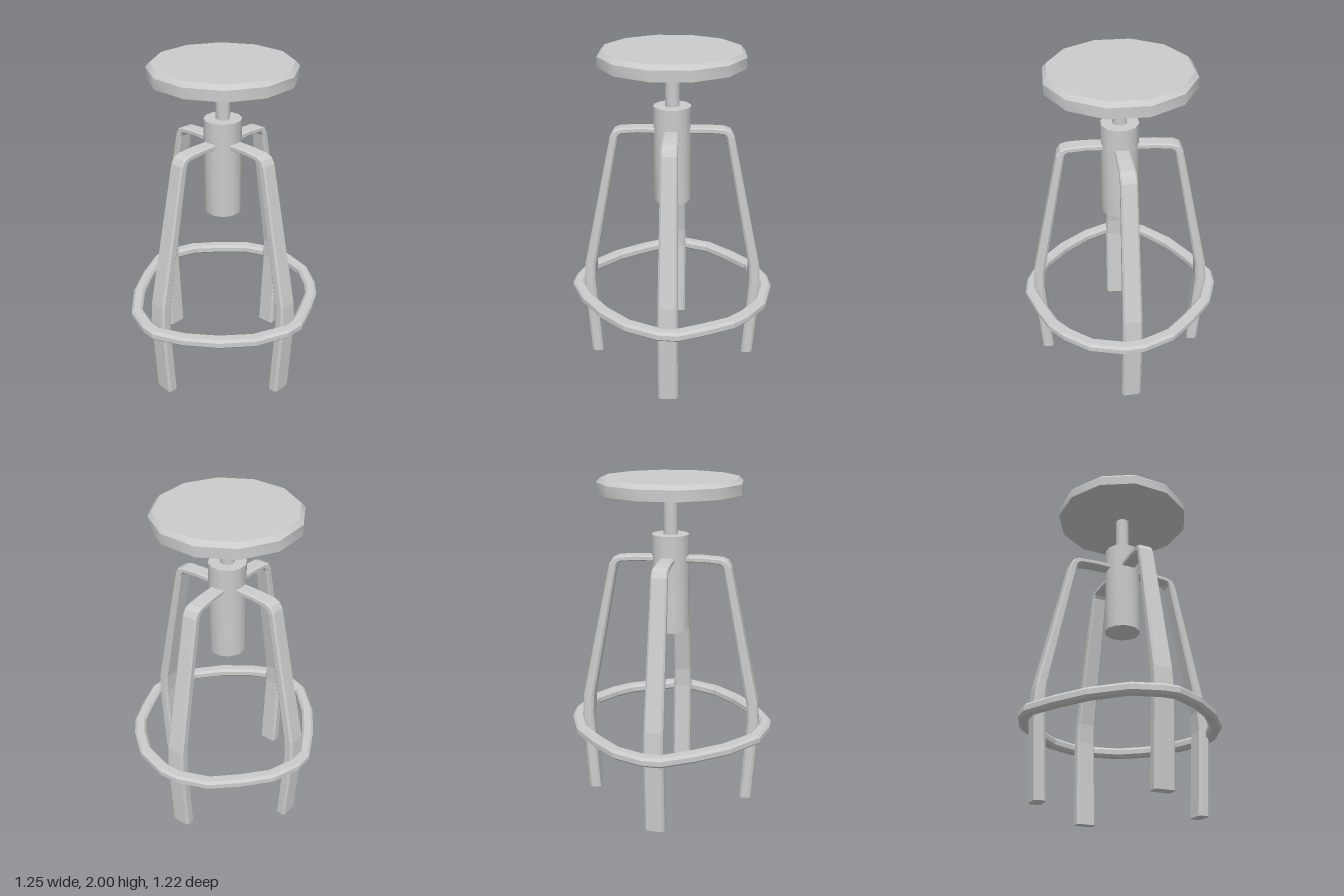
import * as THREE from 'three';
import { toCreasedNormals } from 'three/addons/utils/BufferGeometryUtils.js';

const V = (x, y, z) => new THREE.Vector3(x, y, z);
const rad = THREE.MathUtils.degToRad;
const smooth = new THREE.MeshStandardMaterial({ color: 0xcccccc });
const faceted = new THREE.MeshStandardMaterial({ color: 0xcccccc, flatShading: true });

// Chamfered rectangle about c with half axes a and b; ka, kb are the chamfer fractions
function section(c, a, b, ka, kb) {
  const at = (s, t) => c.clone().addScaledVector(a, s).addScaledVector(b, t);
  const p = 1 - ka, q = 1 - kb;
  return [at(1, -q), at(1, q), at(p, 1), at(-p, 1), at(-1, q), at(-1, -q), at(-p, -1), at(p, -1)];
}

// Skin a row of sections, either closed into a ring or capped at both ends
function loft(sections, closed) {
  const n = sections[0].length, m = sections.length;
  const pos = [], index = [];
  sections.forEach(s => s.forEach(p => pos.push(p.x, p.y, p.z)));
  for (let i = 0; i < (closed ? m : m - 1); i++) {
    const k = (i + 1) % m;
    for (let j = 0; j < n; j++) {
      const l = (j + 1) % n;
      const a = i * n + j, b = i * n + l, c = k * n + l, d = k * n + j;
      index.push(a, b, c, a, c, d);
    }
  }
  if (!closed) {
    const e = (m - 1) * n;
    for (let j = 1; j < n - 1; j++) index.push(0, j + 1, j, e, e + j, e + j + 1);
  }
  const g = new THREE.BufferGeometry();
  g.setAttribute('position', new THREE.Float32BufferAttribute(pos, 3));
  g.setIndex(index);
  const flat = g.toNonIndexed();
  flat.computeVertexNormals();
  return flat;
}

// Twelve-sided turned part from [radius, y] points
function turned(name, points) {
  const profile = points.map(([r, y]) => new THREE.Vector2(r, y));
  const g = toCreasedNormals(new THREE.LatheGeometry(profile, 12), rad(35));
  const mesh = new THREE.Mesh(g, smooth);
  mesh.name = name;
  mesh.rotation.y = rad(-8.1);
  return mesh;
}

export function createModel() {
  const stool = new THREE.Group();
  stool.name = 'stool';

  // Seat, post and column
  stool.add(turned('seat', [[0, 1.915], [0.424, 1.915], [0.424, 1.975], [0.4, 2], [0, 2]]));
  stool.add(turned('seatPost', [[0, 1.62], [0.042, 1.62], [0.042, 1.93], [0, 1.93]]));
  stool.add(turned('column', [[0, 1.095], [0.11, 1.095], [0.11, 1.675], [0, 1.675]]));

  // Bent legs: outer radius, outer y, inner radius, inner y, half width
  const stations = [
    [0.08, 1.55, 0.08, 1.515, 0.042],
    [0.2, 1.55, 0.2, 1.518, 0.043],
    [0.305, 1.543, 0.29, 1.511, 0.045],
    [0.342, 1.528, 0.307, 1.503, 0.046],
    [0.362, 1.495, 0.318, 1.485, 0.047],
    [0.546, 0.65, 0.482, 0.64, 0.057],
    [0.556, 0.52, 0.488, 0.52, 0.059],
    [0.528, 0, 0.458, 0, 0.06],
  ];
  const legGeometry = loft(stations.map(([ro, yo, ri, yi, w]) =>
    section(V((ro + ri) / 2, (yo + yi) / 2, 0), V((ro - ri) / 2, (yo - yi) / 2, 0), V(0, 0, w), 0.4, 0.2)), false);
  const legAngles = { leftLeg: 9, backLeg: 94.5, rightLeg: 185, frontLeg: 275.5 };
  for (const [name, angle] of Object.entries(legAngles)) {
    const leg = new THREE.Mesh(legGeometry, faceted);
    leg.name = name;
    leg.rotation.y = rad(angle);
    stool.add(leg);
  }

  // Hand-bent foot ring outside the legs: outer x, z
  const outline = [
    [-0.1, -0.605], [0.01, -0.615], [0.19, -0.57], [0.36, -0.455], [0.505, -0.33], [0.6, -0.16],
    [0.625, -0.045], [0.6, 0.17], [0.51, 0.33], [0.425, 0.425], [0.29, 0.51], [0.12, 0.6],
    [0, 0.605], [-0.2, 0.545], [-0.38, 0.42], [-0.53, 0.26], [-0.625, 0.1], [-0.63, 0.01],
    [-0.595, -0.16], [-0.45, -0.35], [-0.28, -0.49],
  ];
  const half = 0.036;
  const ring = new THREE.Mesh(loft(outline.map(([x, z]) => {
    const out = V(x, 0, z).normalize();
    const centre = V(x, 0.495, z).addScaledVector(out, -half);
    return section(centre, out.multiplyScalar(half), V(0, 0.03, 0), 0.4, 0.5);
  }), true), faceted);
  ring.name = 'footRing';
  stool.add(ring);

  return stool;
}
